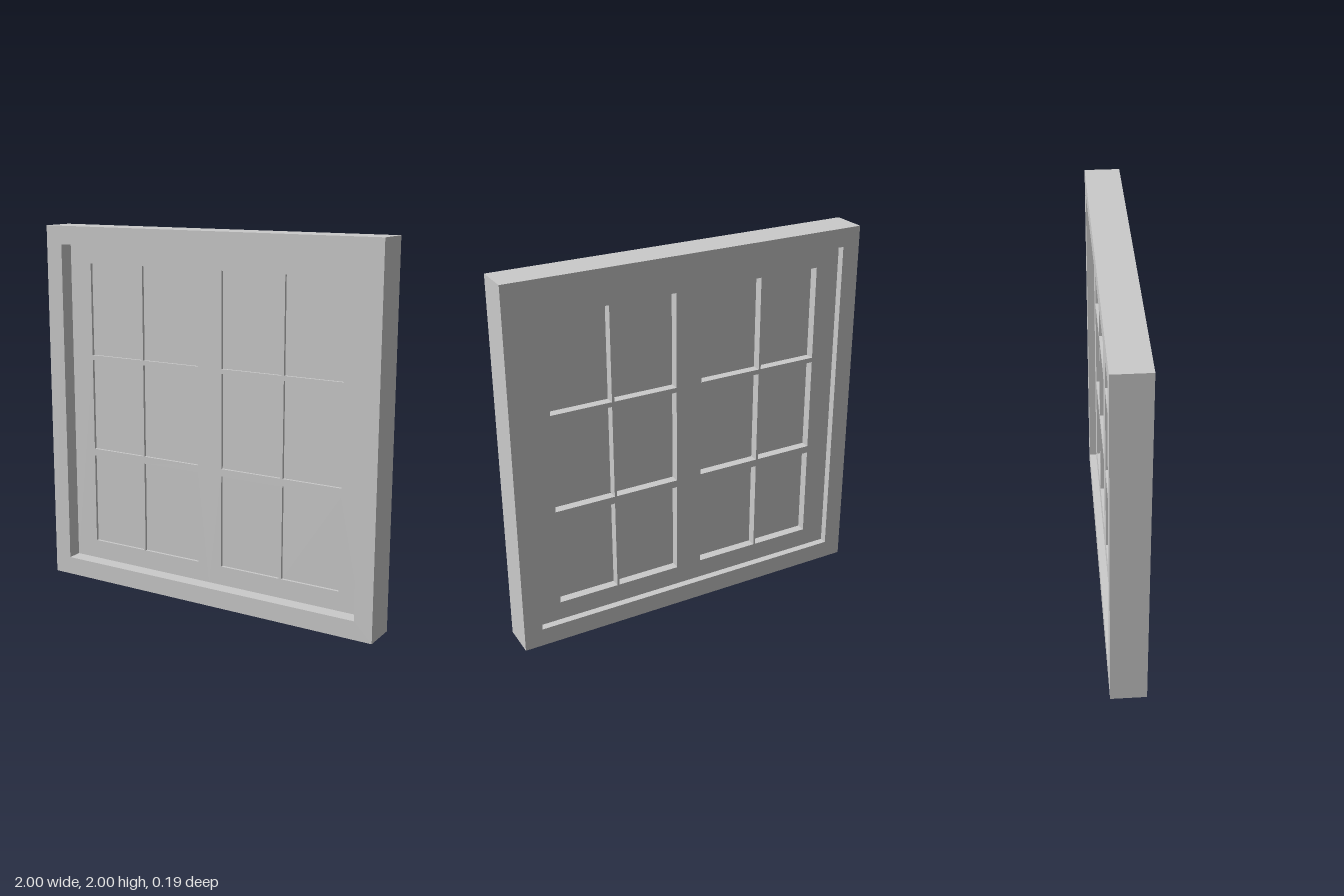
import * as THREE from 'three';

const material = new THREE.MeshStandardMaterial({ color: 0xcccccc, flatShading: true });

function rectPath(path, [x0, x1], [y0, y1]) {
  path.moveTo(x0, y0);
  path.lineTo(x1, y0);
  path.lineTo(x1, y1);
  path.lineTo(x0, y1);
  path.closePath();
  return path;
}

// Flat panel between two depths, with rectangular openings given as [xRange, yRange]
function panel(name, xRange, yRange, openings, zBack, zFront) {
  const shape = rectPath(new THREE.Shape(), xRange, yRange);
  for (const [xs, ys] of openings) shape.holes.push(rectPath(new THREE.Path(), xs, ys));
  const geometry = new THREE.ExtrudeGeometry(shape, { depth: zFront - zBack, bevelEnabled: false });
  geometry.translate(0, 0, zBack);
  const mesh = new THREE.Mesh(geometry, material);
  mesh.name = name;
  return mesh;
}

export function createModel() {
  const window = new THREE.Group();
  window.name = 'window';

  // Outer frame
  window.add(panel('frame', [-1, 1], [0, 2], [[[-0.9, 0.9], [0.1, 1.9]]], -0.095, 0.095));

  // Two sashes meeting in the middle, each with a 2 x 3 grid of lights
  const rows = [[0.205, 0.71], [0.75, 1.262], [1.288, 1.797]];
  const sashes = [
    { side: 'right', span: [-0.9, 0], columns: [[-0.765, -0.434], [-0.422, -0.07]] },
    { side: 'left', span: [0, 0.9], columns: [[0.075, 0.429], [0.442, 0.775]] },
  ];
  for (const { side, span, columns } of sashes) {
    const group = new THREE.Group();
    group.name = `${side}Sash`;
    const openings = rows.flatMap((ys) => columns.map((xs) => [xs, ys]));
    group.add(panel('sashFrame', span, [0.1, 1.9], openings, -0.055, 0.014));

    // Thin panes set inside the openings
    for (const [xs, ys] of openings) group.add(panel('pane', xs, ys, [], -0.006, -0.001));
    window.add(group);
  }
  return window;
}
